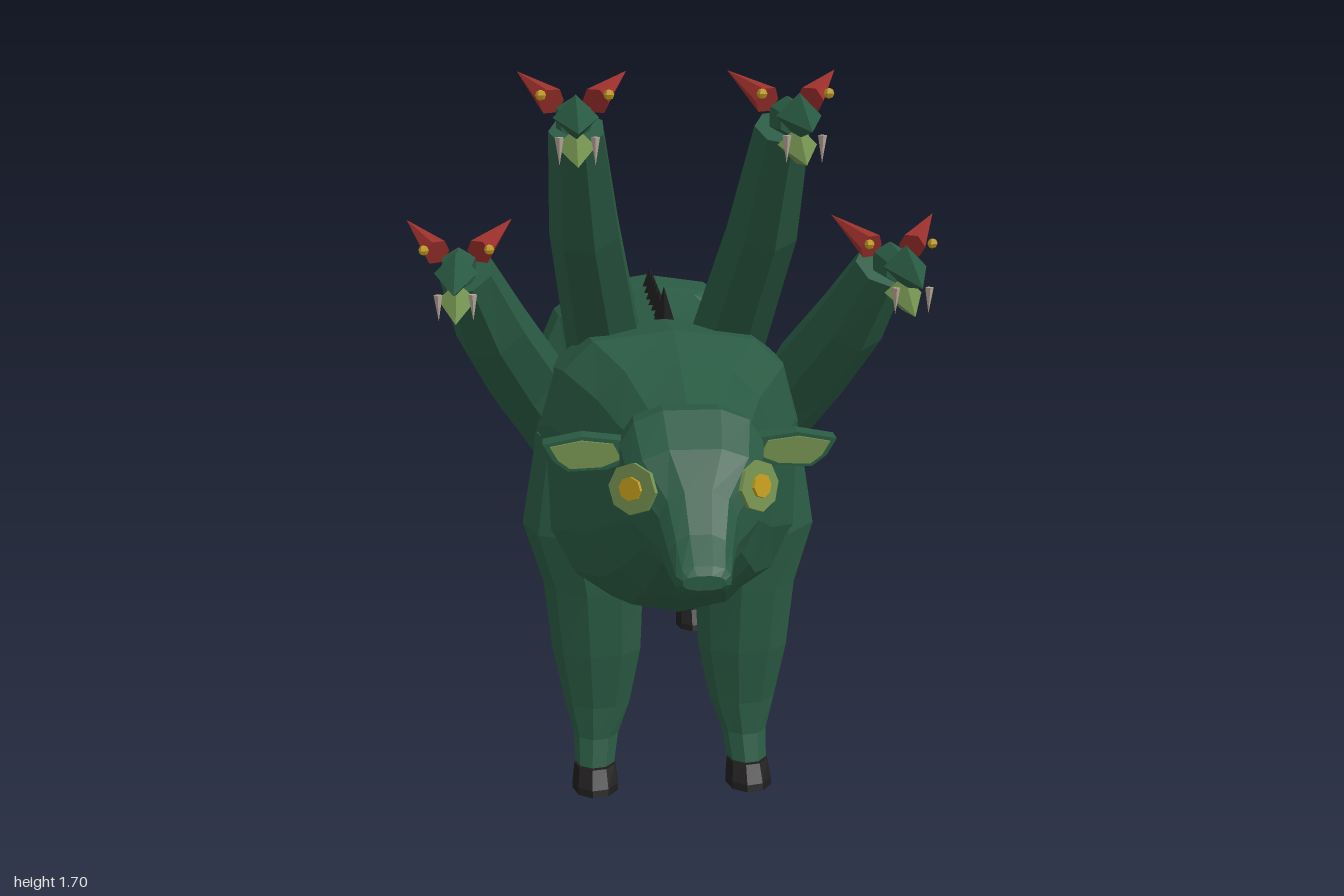
import * as THREE from 'three';

const V = (x, y, z) => new THREE.Vector3(x, y, z);
const mat = (name, color) => Object.assign(new THREE.MeshStandardMaterial({ color }), { name });

// Faceted mesh: every face gets its own normal
function part(parent, name, geometry, material) {
  const g = geometry.index ? geometry.toNonIndexed() : geometry;
  g.computeVertexNormals();
  const m = new THREE.Mesh(g, material);
  m.name = name;
  parent.add(m);
  return m;
}

// Closed skin over a list of rings with equal point counts
function loft(rings) {
  const n = rings[0].length, pos = [], idx = [];
  rings.flat().forEach(p => pos.push(p.x, p.y, p.z));
  for (let j = 0; j < rings.length - 1; j++) {
    for (let i = 0; i < n; i++) {
      const a = j * n + i, b = j * n + (i + 1) % n;
      idx.push(a, b, b + n, a, b + n, a + n);
    }
  }
  const last = (rings.length - 1) * n;
  for (let i = 1; i < n - 1; i++) idx.push(0, i + 1, i, last, last + i, last + i + 1);
  const g = new THREE.BufferGeometry();
  g.setAttribute('position', new THREE.Float32BufferAttribute(pos, 3));
  g.setIndex(idx);
  return g;
}

const around = (n, f) => Array.from({ length: n }, (_, i) => f((i + 0.5) / n * Math.PI * 2));
const pw = (v, p) => Math.sign(v) * Math.abs(v) ** p;

// Rings along z: [z, bottom, top, halfWidth, heightOfWidest, squareness of the upper half]
const trunk = (rows, n) => loft(rows.map(([z, b, t, w, m, up = 0.8]) => around(n, a => {
  const s = Math.sin(a), p = s > 0 ? up : 0.8;
  return V(w * pw(Math.cos(a), p), m + (s > 0 ? t - m : m - b) * pw(s, p), z);
})));

// Rings up y: [y, centreX, centreZ, radiusX, radiusZ]
const limb = (rows, side, n) => loft(rows.map(([y, x, z, rx, rz]) =>
  around(n, a => V(side * x + rx * Math.cos(a), y, z - rz * Math.sin(a)))));

// Tapered tube through points with radii
function taper(points, radii, n) {
  return loft(points.map((c, i) => {
    const t = points[Math.min(i + 1, points.length - 1)].clone().sub(points[Math.max(i - 1, 0)]).normalize();
    const u = V(1, 0, 0).addScaledVector(t, -t.x).normalize();
    const v = t.clone().cross(u);
    return around(n, a => c.clone().addScaledVector(u, radii[i] * Math.cos(a)).addScaledVector(v, radii[i] * Math.sin(a)));
  }));
}

// Cone from base centre to tip
function cone(parent, name, material, from, to, r, sides) {
  const d = to.clone().sub(from), h = d.length();
  const m = part(parent, name, new THREE.ConeGeometry(r, h, sides).translate(0, h / 2, 0), material);
  m.position.copy(from);
  m.quaternion.setFromUnitVectors(V(0, 1, 0), d.normalize());
}

export function createModel() {
  const green = mat('hide green', 0x2a5a43);
  const olive = mat('pale olive', 0x73904f);
  const gold = mat('eye gold', 0xc29a1e);
  const red = mat('horn red', 0x9c302c);
  const black = mat('hoof black', 0x1d1b1b);
  const ivory = mat('fang ivory', 0xb5a598);
  const root = new THREE.Group();
  root.name = 'fiveHeadedBeast';

  // Body from rump to throat
  part(root, 'body', trunk([
    [-0.92, 0.66, 0.73, 0.06, 0.69],
    [-0.88, 0.61, 0.85, 0.15, 0.73],
    [-0.81, 0.57, 0.97, 0.215, 0.76],
    [-0.71, 0.56, 1.05, 0.27, 0.78],
    [-0.57, 0.57, 1.087, 0.308, 0.80],
    [-0.43, 0.59, 1.09, 0.295, 0.82],
    [-0.39, 0.59, 1.088, 0.225, 0.80],
    [-0.20, 0.53, 1.085, 0.215, 0.78],
    [0.00, 0.48, 1.09, 0.255, 0.74, 0.7],
    [0.14, 0.475, 1.11, 0.32, 0.70, 0.6],
    [0.31, 0.475, 1.125, 0.285, 0.74, 0.55],
    [0.46, 0.51, 1.09, 0.21, 0.79, 0.7],
    [0.60, 0.595, 1.055, 0.17, 0.84],
    [0.70, 0.69, 1.03, 0.125, 0.87],
    [0.79, 0.76, 0.96, 0.08, 0.87],
  ], 14), green);

  // Main head tapering to the snout
  part(root, 'mainHead', trunk([
    [0.58, 0.68, 1.02, 0.12, 0.88],
    [0.66, 0.72, 1.05, 0.145, 0.94, 0.7],
    [0.74, 0.75, 1.06, 0.15, 0.94, 0.7],
    [0.82, 0.755, 1.00, 0.135, 0.90, 0.7],
    [0.875, 0.745, 0.93, 0.08, 0.85],
    [0.93, 0.735, 0.86, 0.064, 0.80],
    [0.985, 0.755, 0.815, 0.055, 0.785],
    [1.00, 0.77, 0.80, 0.042, 0.785],
  ], 12), green);

  // Ears and eyes, built on the left and mirrored
  const leaf = [[0.12, 0.955], [0.17, 0.935], [0.25, 0.932], [0.28, 0.955], [0.30, 0.99], [0.22, 1.005], [0.14, 0.995]];
  const leafPlate = (k, depth, z) => new THREE.ExtrudeGeometry(
    new THREE.Shape(leaf.map(([x, y]) => new THREE.Vector2(0.23 + (x - 0.23) * k, 0.962 + (y - 0.967) * k))),
    { depth, bevelEnabled: false }).translate(0, 0, z);
  const n = V(0.74, 0.2, 0.64).normalize();
  for (const s of [1, -1]) {
    const face = new THREE.Group();
    face.name = s > 0 ? 'leftFace' : 'rightFace';
    face.scale.x = s;
    root.add(face);
    part(face, 'ear', leafPlate(1, 0.045, 0.675), green);
    part(face, 'innerEar', leafPlate(0.8, 0.006, 0.719), olive);
    [['eyePatch', 0.052, olive, 0.014], ['eye', 0.024, gold, 0.02]].forEach(([name, r, m, off]) => {
      const disc = part(face, name, new THREE.CylinderGeometry(r, r, 0.008, 8).rotateX(Math.PI / 2).scale(1.25, 1, 1), m);
      disc.position.set(0.115, 0.92, 0.822).addScaledVector(n, off);
      disc.quaternion.setFromUnitVectors(V(0, 0, 1), n);
    });
  }

  // Legs with hooves and dewclaws
  const frontRows = [
    [0.05, 0.185, 0.265, 0.048, 0.05], [0.12, 0.18, 0.237, 0.055, 0.058], [0.20, 0.175, 0.23, 0.08, 0.063],
    [0.34, 0.175, 0.235, 0.108, 0.078], [0.50, 0.18, 0.225, 0.12, 0.105], [0.64, 0.195, 0.19, 0.152, 0.15], [0.86, 0.19, 0.19, 0.12, 0.13],
  ];
  const hindRows = [
    [0.05, 0.15, -0.735, 0.045, 0.052], [0.12, 0.145, -0.757, 0.05, 0.06], [0.26, 0.15, -0.797, 0.06, 0.058],
    [0.34, 0.155, -0.83, 0.068, 0.072], [0.42, 0.16, -0.815, 0.08, 0.105], [0.52, 0.165, -0.735, 0.10, 0.165],
    [0.62, 0.17, -0.66, 0.125, 0.22], [0.80, 0.17, -0.61, 0.137, 0.20], [0.97, 0.15, -0.59, 0.11, 0.15],
  ];
  for (const s of [1, -1]) {
    for (const [name, rows] of [['front', frontRows], ['hind', hindRows]]) {
      const [, x, z, rx] = rows[0];
      part(root, name + 'Leg', limb(rows, s, 9), green);
      part(root, name + 'Hoof', limb([
        [0.004, x, z + 0.04, rx + 0.008, 0.062], [0.02, x, z + 0.035, rx + 0.008, 0.062], [0.055, x, z + 0.01, rx + 0.002, 0.05],
      ], s, 9), black);
      for (const d of [-0.022, 0.022]) {
        const c = V(s * x + d, 0.125, z - 0.062);
        cone(root, name + 'Dewclaw', black, c, c.clone().add(V(0, -0.03, -0.035)), 0.02, 5);
      }
    }
  }

  // Small serpent head: skull, horns, eyes, jaws and fangs
  function serpentHead(x, y, z) {
    const h = new THREE.Group();
    h.name = 'serpentHead';
    h.position.set(x, y, z);
    root.add(h);
    part(h, 'skull', new THREE.CylinderGeometry(0.033, 0.042, 0.11, 6).rotateX(Math.PI / 2), green);
    cone(h, 'upperJaw', green, V(0, 0.015, 0.10), V(0, 0, 0.27), 0.046, 4);
    cone(h, 'lowerJaw', olive, V(0, -0.043, 0.09), V(0, -0.07, 0.215), 0.04, 4);
    for (const s of [1, -1]) {
      cone(h, 'horn', red, V(s * 0.045, 0.035, -0.035), V(s * 0.115, 0.088, -0.15), 0.03, 6);
      cone(h, 'fang', ivory, V(s * 0.035, -0.015, 0.18), V(s * 0.035, -0.07, 0.18), 0.009, 4);
      part(h, 'serpentEye', new THREE.SphereGeometry(0.011, 6, 4).translate(s * 0.068, 0.055, 0.055), gold);
    }
  }

  // Four serpent necks
  for (const s of [1, -1]) {
    part(root, 'innerNeck', taper([V(s * 0.13, 0.92, 0.01), V(s * 0.145, 1.06, 0.11), V(s * 0.195, 1.36, 0.335), V(s * 0.215, 1.59, 0.465)],
      [0.09, 0.092, 0.08, 0.06], 7), green);
    part(root, 'outerNeck', taper([V(s * 0.25, 0.735, 0.025), V(s * 0.265, 0.84, 0.06), V(s * 0.335, 0.98, 0.14), V(s * 0.405, 1.13, 0.27), V(s * 0.455, 1.275, 0.37)],
      [0.045, 0.085, 0.095, 0.085, 0.062], 7), green);
    serpentHead(s * 0.222, 1.615, 0.53);
    serpentHead(s * 0.47, 1.29, 0.435);
  }

  // Spikes along the spine, the foremost taller
  for (let i = 0; i < 7; i++) {
    const z = -0.41 + i * 0.0765, y = i === 6 ? 1.09 : 1.07;
    cone(root, 'backSpike', black, V(0, y, z), V(0, y + (i === 6 ? 0.085 : 0.068), z), 0.025, 4);
  }

  // Short tail
  cone(root, 'tail', green, V(0.09, 0.695, -0.86), V(0.13, 0.645, -1.0), 0.035, 5);
  return root;
}
